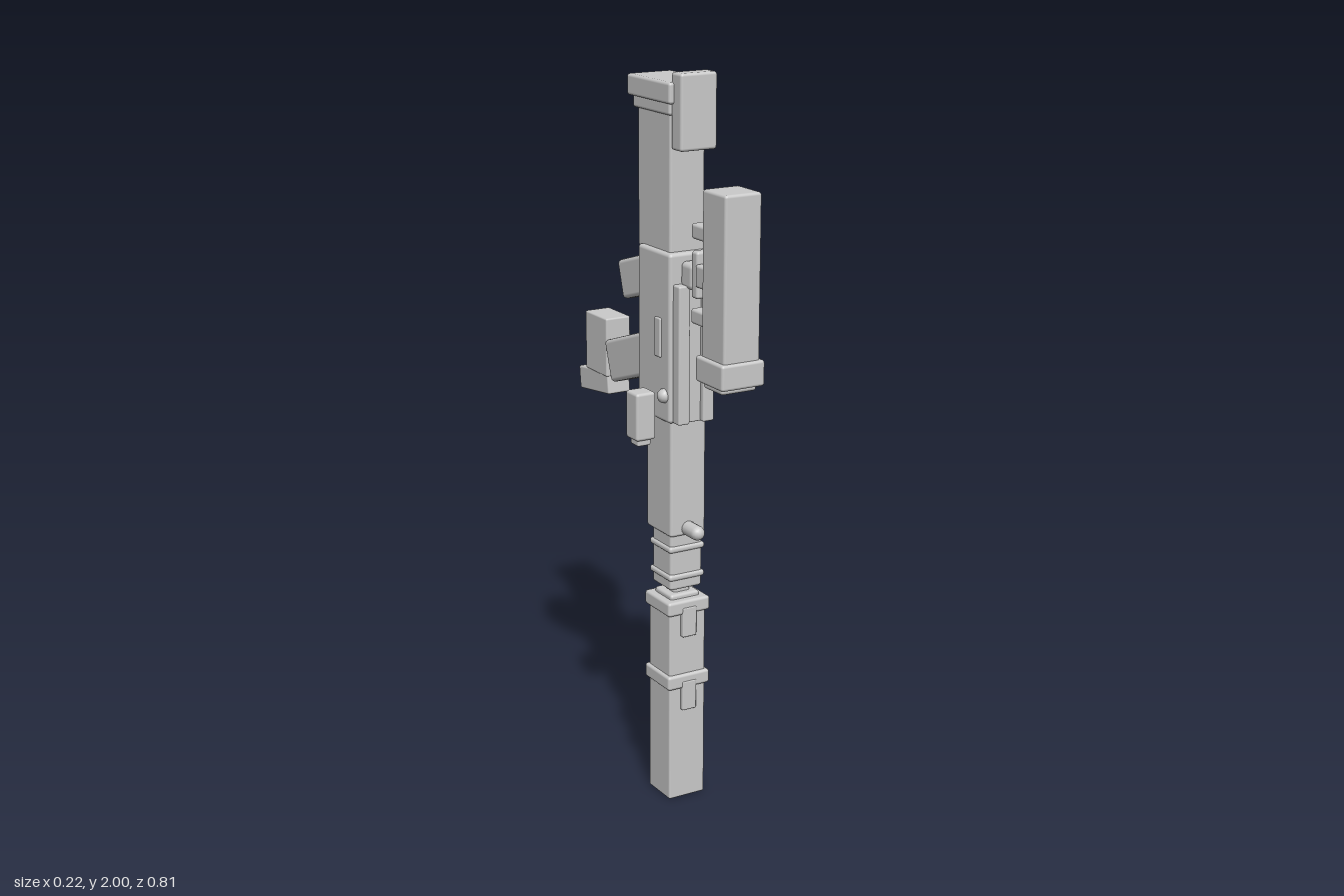
import * as THREE from 'three';
import { RoundedBoxGeometry } from 'three/addons/geometries/RoundedBoxGeometry.js';

export function createModel() {
  const model = new THREE.Group();
  model.name = 'blockyRifle';
  const gray = new THREE.MeshStandardMaterial({ color: 0xcacaca });
  gray.name = 'light gray';
  const CX = 0.022; // centre line of the body

  function add(name, geometry, x, y, z) {
    const mesh = new THREE.Mesh(geometry, gray);
    mesh.name = name;
    mesh.position.set(x, y, z);
    model.add(mesh);
    return mesh;
  }
  function rounded(w, h, d, r) {
    return new RoundedBoxGeometry(w, h, d, 2, Math.min(r, w * 0.45, h * 0.45, d * 0.45));
  }
  // softened box given by its width and its y and z ranges
  function box(name, w, y0, y1, z0, z1, r = 0.008, x = CX) {
    return add(name, rounded(w, y1 - y0, z1 - z0, r), x, (y0 + y1) / 2, (z0 + z1) / 2);
  }
  // tilted box running from one (z, y) point to another
  function bar(name, w, thick, [za, ya], [zb, yb], r = 0.012) {
    const mesh = add(name, rounded(w, thick, Math.hypot(zb - za, yb - ya), r), CX, (ya + yb) / 2, (za + zb) / 2);
    mesh.rotation.x = -Math.atan2(ya - yb, za - zb);
    return mesh;
  }

  // Muzzle sleeve with two collars and clips
  box('muzzleSleeve', 0.112, 0, 0.58, 0.028, 0.14, 0.006);
  for (const y of [0.33, 0.545]) {
    box('sleeveCollar', 0.13, y, y + 0.04, 0.02, 0.15);
    box('sleeveClip', 0.044, y - 0.065, y + 0.02, 0.13, 0.152, 0.004);
  }
  box('sleeveCap', 0.09, 0.57, 0.598, 0.04, 0.128);
  box('muzzleNeck', 0.05, 0.58, 0.63, 0.06, 0.11);

  // Ringed barrel
  box('barrel', 0.098, 0.613, 0.78, 0.034, 0.132);
  for (const y of [0.65, 0.73]) box('barrelRing', 0.11, y - 0.009, y + 0.009, 0.028, 0.138);

  // Handguard and front post
  box('handguard', 0.108, 0.768, 1.1, 0.012, 0.14);
  const post = add('frontPost', new THREE.CapsuleGeometry(0.02, 0.06, 4, 14), CX, 0.788, 0.157);
  post.rotation.x = Math.PI / 2;

  // Receiver with a grooved top rail
  box('receiver', 0.13, 1.088, 1.54, -0.015, 0.15, 0.01);
  box('railBase', 0.1, 1.09, 1.46, 0.14, 0.165, 0.004);
  for (const s of [-1, 1]) {
    box('railStrip', 0.034, 1.09, 1.46, 0.145, 0.18, 0.005, CX + s * 0.037);
    box('sidePlate', 0.012, 1.26, 1.365, 0.08, 0.11, 0.004, CX + s * 0.065);
    const pin = add('sidePin', new THREE.CapsuleGeometry(0.02, 0.04, 4, 14), CX + s * 0.044, 1.16, 0.123);
    pin.rotation.z = Math.PI / 2;
  }

  // Side lamp
  box('sideLamp', 0.058, 1.035, 1.165, 0.035, 0.095, 0.008, -0.08);
  box('sideLampLens', 0.04, 1.018, 1.045, 0.045, 0.085, 0.005, -0.08);

  // Stock, butt pad and rear tab
  box('stock', 0.104, 1.53, 1.91, -0.036, 0.13);
  box('stockStep', 0.118, 1.89, 1.925, -0.05, 0.137);
  box('buttPad', 0.134, 1.92, 1.975, -0.067, 0.15);
  box('rearTab', 0.107, 1.805, 2.0, 0.135, 0.185);

  // Scope with mounting blocks
  box('scopeBody', 0.107, 1.29, 1.73, 0.287, 0.396);
  box('scopeHood', 0.128, 1.237, 1.305, 0.275, 0.405);
  box('scopeLens', 0.105, 1.222, 1.25, 0.295, 0.385);
  for (const y of [1.39, 1.61]) box('scopeFoot', 0.076, y - 0.02, y + 0.02, 0.208, 0.3);
  box('scopeMount', 0.088, 1.47, 1.53, 0.238, 0.3);
  box('scopeMountTab', 0.06, 1.458, 1.49, 0.262, 0.3, 0.004);
  box('mountPlate', 0.076, 1.437, 1.56, 0.21, 0.24);
  box('mountStem', 0.064, 1.45, 1.52, 0.145, 0.205, 0.014);

  // Grip and magazine
  bar('grip', 0.088, 0.106, [0.03, 1.468], [-0.15, 1.413]);
  bar('magazine', 0.088, 0.117, [0.005, 1.246], [-0.222, 1.169]);

  // Angled foot holding the spare block
  box('spareBlock', 0.076, 1.12, 1.285, -0.355, -0.235, 0.005);
  bar('spareBlockFoot', 0.07, 0.064, [-0.234, 1.103], [-0.398, 1.083], 0.005);

  return model;
}
